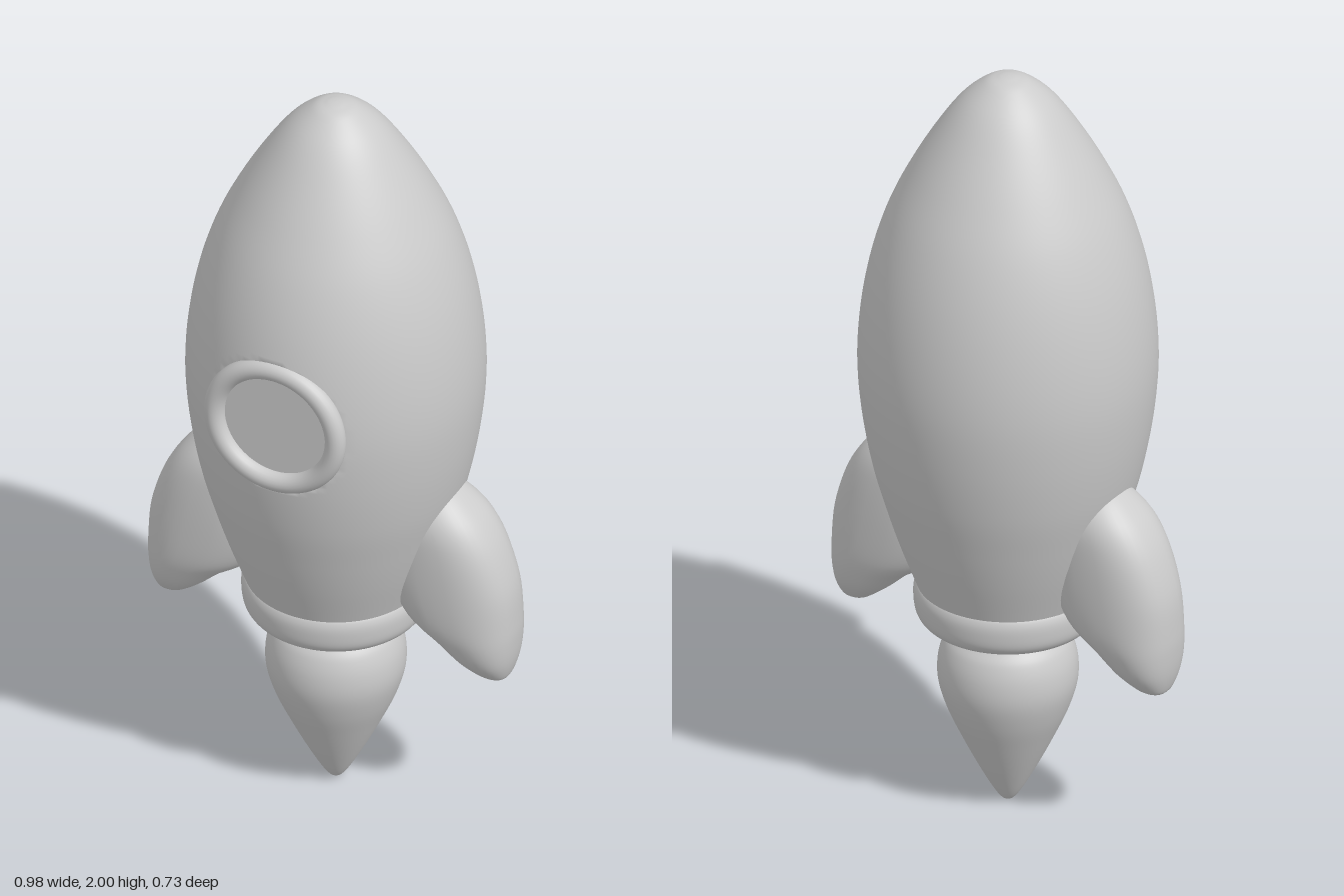
import * as THREE from 'three';
import { mergeVertices } from 'three/addons/utils/BufferGeometryUtils.js';

const material = new THREE.MeshStandardMaterial({ color: 0xcccccc });
const WINDOW_Y = 1.25;

function addMesh(parent, name, geometry) {
  const mesh = new THREE.Mesh(geometry, material);
  mesh.name = name;
  parent.add(mesh);
  return mesh;
}

// Weld seams and shade smoothly
function smooth(geometry) {
  geometry.deleteAttribute('uv');
  geometry.deleteAttribute('normal');
  const welded = mergeVertices(geometry, 1e-5);
  welded.computeVertexNormals();
  return welded;
}

// Smooth lathe through [radius, y] points, listed bottom to top
function turned(points, steps) {
  const curve = new THREE.SplineCurve(points.map(([r, y]) => new THREE.Vector2(r, y)));
  const profile = curve.getPoints(steps).map(p => new THREE.Vector2(Math.max(p.x, 0), p.y));
  return new THREE.LatheGeometry(profile, 96, Math.PI);
}

// Hull with a shallow pocket pressed in behind the window
function hullGeometry() {
  const geometry = turned([
    [0.205, 0.56], [0.228, 0.62], [0.265, 0.72], [0.297, 0.82], [0.33, 0.94], [0.355, 1.08],
    [0.366, 1.22], [0.358, 1.36], [0.333, 1.5], [0.292, 1.63], [0.235, 1.75], [0.17, 1.86],
    [0.115, 1.935], [0.06, 1.983], [0.025, 1.997], [0, 2],
  ], 120);
  const pos = geometry.attributes.position;
  for (let i = 0; i < pos.count; i++) {
    const d = Math.hypot(pos.getX(i), pos.getY(i) - WINDOW_Y);
    if (pos.getZ(i) > 0.325 && d < 0.165) pos.setZ(i, 0.325);
  }
  return smooth(geometry);
}

// Fin lofted from rounded horizontal sections: [y, inner x, outer x, half thickness]
function finGeometry() {
  const sections = [
    [0.43, 0.435, 0.445, 0.004], [0.435, 0.41, 0.463, 0.03], [0.45, 0.385, 0.473, 0.052],
    [0.49, 0.335, 0.484, 0.082], [0.54, 0.28, 0.49, 0.101], [0.6, 0.2, 0.491, 0.113],
    [0.7, 0.15, 0.482, 0.117], [0.8, 0.15, 0.45, 0.115], [0.87, 0.15, 0.41, 0.107],
    [0.92, 0.15, 0.362, 0.086], [0.95, 0.16, 0.32, 0.055], [0.962, 0.2, 0.28, 0.01],
  ];
  const inner = new THREE.CatmullRomCurve3(
    sections.map(([y, xi]) => new THREE.Vector3(xi, y, 0)), false, 'catmullrom');
  const outer = new THREE.CatmullRomCurve3(
    sections.map(([y, , xo, h]) => new THREE.Vector3(xo, y, h)), false, 'catmullrom');
  const rows = 55, cols = 40, positions = [], index = [];
  const power = v => Math.sign(v) * Math.abs(v) ** 0.82;
  for (let i = 0; i <= rows; i++) {
    const a = inner.getPoint(i / rows), b = outer.getPoint(i / rows);
    const mid = (a.x + b.x) / 2, half = (b.x - a.x) / 2;
    for (let j = 0; j < cols; j++) {
      const t = (j / cols) * Math.PI * 2;
      positions.push(mid + half * power(Math.cos(t)), b.y, b.z * power(Math.sin(t)));
      if (i < rows) {
        const p = i * cols + j, q = i * cols + ((j + 1) % cols);
        index.push(p, p + cols, q, q, p + cols, q + cols);
      }
    }
  }
  // Close both ends
  const last = rows * cols;
  for (let j = 1; j < cols - 1; j++) {
    index.push(0, j, j + 1, last, last + j + 1, last + j);
  }
  const geometry = new THREE.BufferGeometry();
  geometry.setAttribute('position', new THREE.Float32BufferAttribute(positions, 3));
  geometry.setIndex(index);
  geometry.computeVertexNormals();
  return geometry;
}

export function createModel() {
  const rocket = new THREE.Group();
  rocket.name = 'rocket';

  addMesh(rocket, 'hull', hullGeometry());

  // Rounded collar under the hull
  addMesh(rocket, 'collar', turned([
    [0, 0.5], [0.1, 0.498], [0.17, 0.499], [0.205, 0.508], [0.224, 0.53],
    [0.23, 0.565], [0.228, 0.595], [0.215, 0.615], [0.18, 0.625],
  ], 50));

  // Teardrop exhaust flame with a narrow neck
  addMesh(rocket, 'flame', turned([
    [0, 0], [0.016, 0.006], [0.04, 0.04], [0.078, 0.11], [0.117, 0.19], [0.15, 0.265],
    [0.17, 0.335], [0.17, 0.395], [0.155, 0.445], [0.13, 0.48], [0.135, 0.505],
  ], 60));

  // Round window: raised rim and recessed pane
  const porthole = new THREE.Group();
  porthole.name = 'window';
  porthole.position.set(0, WINDOW_Y, 0.338);
  rocket.add(porthole);
  addMesh(porthole, 'windowRim', new THREE.TorusGeometry(0.163, 0.026, 20, 72));
  addMesh(porthole, 'windowPane', new THREE.CircleGeometry(0.155, 64)).position.z = -0.004;

  // Side fins; the right one is the left one turned half way round
  const fin = finGeometry();
  addMesh(rocket, 'leftFin', fin);
  addMesh(rocket, 'rightFin', fin).rotation.y = Math.PI;

  return rocket;
}
